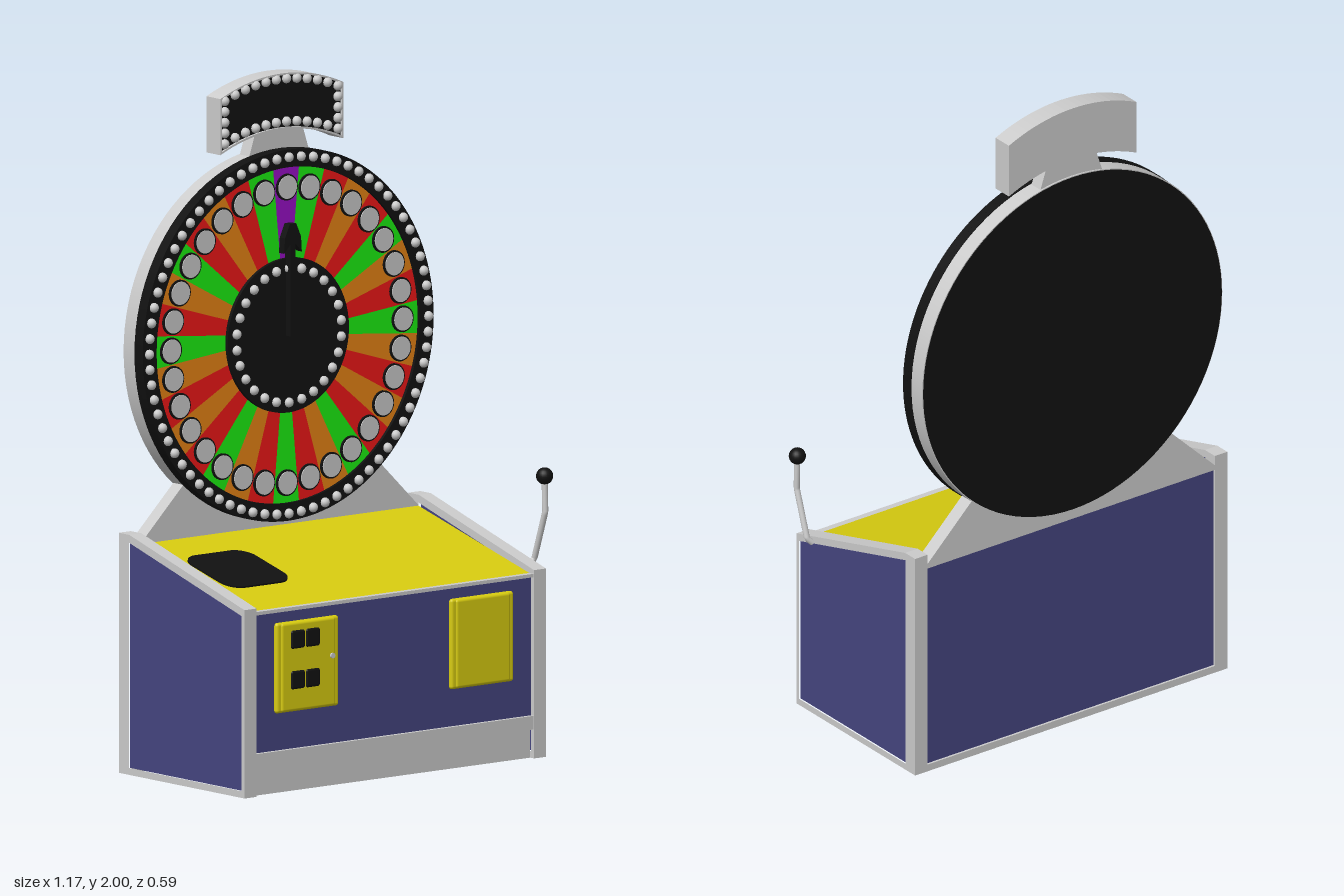
import * as THREE from 'three';
import { RoundedBoxGeometry } from 'three/addons/geometries/RoundedBoxGeometry.js';

const mat = (color) => new THREE.MeshStandardMaterial({ color });
const GREY = mat(0xcccccc), BLUE = mat(0x45457f), YELLOW = mat(0xd8cc10), BLACK = mat(0x111111);
const RED = mat(0xf01818), GREEN = mat(0x1cf012), ORANGE = mat(0xe88414), PURPLE = mat(0x9a10c8);
const CX = -0.02; // centre line of the cabinet and wheel

function add(parent, name, geometry, material, x = 0, y = 0, z = 0) {
  const mesh = new THREE.Mesh(geometry, material);
  mesh.name = name;
  mesh.position.set(x, y, z);
  parent.add(mesh);
  return mesh;
}

const shapeOf = (pts) => new THREE.Shape(pts.map(([x, y]) => new THREE.Vector2(x, y)));

// Box given by its limits
function box(parent, name, material, x0, x1, y0, y1, z0, z1) {
  return add(parent, name, new THREE.BoxGeometry(x1 - x0, y1 - y0, z1 - z0), material,
    (x0 + x1) / 2, (y0 + y1) / 2, (z0 + z1) / 2);
}

// Shape in the xy plane, extruded from z0 to z1
function extrudeZ(shape, z0, z1) {
  return new THREE.ExtrudeGeometry(shape, { depth: z1 - z0, bevelEnabled: false, curveSegments: 64 }).translate(0, 0, z0);
}

// Side profile of [z, y] points, extruded from x0 to x1
function extrudeX(pts, x0, x1, hole) {
  const flip = (list) => list.map(([z, y]) => [-z, y]);
  const shape = shapeOf(flip(pts));
  if (hole) shape.holes.push(shapeOf(flip(hole)));
  return extrudeZ(shape, 0, x1 - x0).rotateY(Math.PI / 2).translate(x0, 0, 0);
}

// Flat ring sector; angles run clockwise from the top
function sector(r0, r1, a0, a1) {
  const shape = new THREE.Shape();
  shape.absarc(0, 0, r1, Math.PI / 2 - a0, Math.PI / 2 - a1, true);
  shape.absarc(0, 0, r0, Math.PI / 2 - a1, Math.PI / 2 - a0, false);
  return shape;
}

function ringShape(r0, r1) {
  const shape = new THREE.Shape().absarc(0, 0, r1, 0, Math.PI * 2);
  shape.holes.push(new THREE.Path().absarc(0, 0, r0, 0, Math.PI * 2, true));
  return shape;
}

const disc = (r, h, seg = 96) => new THREE.CylinderGeometry(r, r, h, seg).rotateX(Math.PI / 2);
const bulbGeometry = new THREE.SphereGeometry(0.0145, 12, 8);

function createCabinet() {
  const g = new THREE.Group();
  g.name = 'cabinet';
  // Side frames with inset panels
  const outer = [[0.29, 0], [0.29, 0.553], [-0.235, 0.705], [-0.283, 0.705], [-0.283, 0]];
  const inner = [[0.276, 0.02], [0.276, 0.534], [-0.237, 0.682], [-0.237, 0.02]];
  for (const [x0, out] of [[-0.585, -1], [0.5, 1]]) {
    add(g, 'sideFrame', extrudeX(outer, x0, x0 + 0.045, inner), GREY);
    const p = x0 + (out < 0 ? 0.005 : 0.01);
    add(g, 'sidePanel', extrudeX(inner, p, p + 0.03), BLUE);
  }
  // Body between the sides
  add(g, 'body', extrudeX([[0.25, 0.02], [0.25, 0.1], [0.276, 0.1], [0.276, 0.532], [-0.237, 0.664],
    [-0.276, 0.664], [-0.276, 0.02]], -0.542, 0.502), BLUE);
  add(g, 'deck', extrudeX([[0.272, 0.53], [0.272, 0.541], [-0.237, 0.673], [-0.237, 0.662]], -0.54, 0.5), YELLOW);
  box(g, 'frontTopTrim', GREY, -0.54, 0.5, 0.532, 0.542, 0.268, 0.288);
  box(g, 'frontRail', GREY, -0.54, 0.5, 0.085, 0.125, 0.25, 0.288);
  box(g, 'kickPlate', GREY, -0.54, 0.5, 0, 0.085, 0.245, 0.272);
  box(g, 'backBottomTrim', GREY, -0.54, 0.5, 0, 0.022, -0.283, -0.262);

  // Front doors
  for (const x of [-0.345, 0.31]) {
    add(g, 'doorFrame', new RoundedBoxGeometry(0.235, 0.265, 0.02, 3, 0.009), YELLOW, x, 0.367, 0.278);
    add(g, 'door', new RoundedBoxGeometry(0.205, 0.262, 0.02, 3, 0.009), YELLOW, x, 0.367, 0.282);
  }
  for (const x of [-0.387, -0.331]) for (const y of [0.447, 0.328]) {
    add(g, 'coinSlot', new RoundedBoxGeometry(0.052, 0.054, 0.016, 3, 0.007), BLACK, x, y, 0.289);
  }
  add(g, 'doorLock', disc(0.008, 0.012, 16), GREY, -0.258, 0.385, 0.291);

  // Rounded pad lying on the sloping deck
  const r = 0.055, w = 0.12;
  const pad = new THREE.Shape();
  [[1, 1], [-1, 1], [-1, -1], [1, -1]].forEach(([sx, sy], i) =>
    pad.absarc(sx * (w - r), sy * (w - r), r, i * Math.PI / 2, (i + 1) * Math.PI / 2));
  add(g, 'deckPad', extrudeZ(pad, -0.005, 0.008), BLACK, -0.375, 0.608, 0.002)
    .rotation.x = -Math.PI / 2 + Math.atan2(0.132, 0.509);

  // Pull lever on the left side
  const rod = new THREE.CurvePath();
  const pts = [[0.545, 0.555, 0.212], [0.56, 0.57, 0.218], [0.56, 0.715, 0.268], [0.56, 0.82, 0.265]]
    .map((p) => new THREE.Vector3(...p));
  for (let i = 0; i < 3; i++) rod.add(new THREE.LineCurve3(pts[i], pts[i + 1]));
  add(g, 'leverRod', new THREE.TubeGeometry(rod, 30, 0.009, 12), GREY);
  add(g, 'leverKnob', new THREE.SphereGeometry(0.025, 20, 14), BLACK, 0.56, 0.82, 0.265);

  // Stand under the wheel
  add(g, 'wheelStand', extrudeZ(shapeOf([[-0.54, 0.66], [0.5, 0.66], [0.5, 0.675], [0.33, 0.84],
    [-0.37, 0.84], [-0.54, 0.675]]), -0.283, -0.237), GREY);
  return g;
}

function bulbRing(parent, count, radius, z) {
  for (let i = 0; i < count; i++) {
    const a = (i / count) * Math.PI * 2;
    add(parent, 'bulb', bulbGeometry, GREY, Math.sin(a) * radius, Math.cos(a) * radius, z);
  }
}

function createWheel() {
  const g = new THREE.Group();
  g.name = 'wheel';
  g.position.set(CX, 1.235, 0);
  add(g, 'wheelDrum', disc(0.543, 0.052), GREY, 0, 0, -0.262);
  add(g, 'wheelBack', disc(0.54, 0.004), BLACK, 0, 0, -0.288);
  add(g, 'wheelBase', disc(0.545, 0.02), BLACK, 0, 0, -0.226);
  add(g, 'outerRing', extrudeZ(ringShape(0.493, 0.545), -0.22, -0.198), BLACK);
  add(g, 'hub', disc(0.227, 0.03, 64), BLACK, 0, 0, -0.212);

  // Coloured segments, clockwise from the top, each with a plain badge
  const order = 'PGROROROGORORGORGROGRORO';
  const full = 'PGRORGORGORORGORG' + 'ROGROROGROGRORG';
  const colours = { P: PURPLE, G: GREEN, R: RED, O: ORANGE };
  const step = (Math.PI * 2) / full.length;
  const wedge = extrudeZ(sector(0.22, 0.495, -step / 2, step / 2), -0.218, -0.208);
  const badge = disc(0.034, 0.012, 24), badgeRim = disc(0.039, 0.009, 24);
  [...full].forEach((c, i) => {
    const a = i * step, x = Math.sin(a) * 0.434, y = Math.cos(a) * 0.434;
    add(g, 'segment', wedge, colours[c]).rotation.z = -a;
    add(g, 'badgeRim', badgeRim, BLACK, x, y, -0.206);
    add(g, 'badge', badge, GREY, x, y, -0.205);
  });

  bulbRing(g, 72, 0.523, -0.195);
  bulbRing(g, 26, 0.197, -0.195);

  // Pointer
  add(g, 'pointer', extrudeZ(shapeOf([[-0.01, 0], [0.01, 0], [0.01, 0.27], [0.033, 0.245], [0.03, 0.29],
    [0.012, 0.33], [-0.012, 0.33], [-0.03, 0.29], [-0.033, 0.245], [-0.01, 0.27]]), -0.2, -0.176), BLACK);
  return g;
}

function createSign() {
  const g = new THREE.Group();
  g.name = 'topSign';
  g.position.x = CX;
  const R = 0.554;
  const arcY = (x, top) => top - R + Math.sqrt(R * R - x * x);
  // Curved panel with straight sides
  const panel = (hw, top, bottom) => {
    const pts = [], n = 20;
    for (let i = 0; i <= n; i++) { const x = hw * (2 * i / n - 1); pts.push([x, arcY(x, bottom)]); }
    for (let i = n; i >= 0; i--) { const x = hw * (2 * i / n - 1); pts.push([x, arcY(x, top)]); }
    return shapeOf(pts);
  };
  add(g, 'signBody', extrudeZ(panel(0.231, 2.0, 1.835), -0.29, -0.236), GREY);
  const rim = panel(0.231, 2.0, 1.835);
  rim.holes.push(panel(0.225, 1.994, 1.841));
  add(g, 'signRim', extrudeZ(rim, -0.238, -0.226), GREY);
  add(g, 'signFace', extrudeZ(panel(0.226, 1.995, 1.84), -0.238, -0.233), BLACK);
  add(g, 'signNeck', extrudeZ(shapeOf([[-0.12, 1.74], [0.12, 1.74], [0.085, 1.845], [-0.085, 1.845]]), -0.283, -0.24), GREY);

  // Bulbs around the edge
  for (let i = 0; i < 12; i++) {
    const x = -0.212 + (0.424 * i) / 11;
    for (const y of [1.983, 1.857]) add(g, 'signBulb', bulbGeometry, GREY, x, arcY(x, y), -0.23);
  }
  for (const x of [-0.212, 0.212]) for (let i = 1; i < 4; i++) {
    add(g, 'signBulb', bulbGeometry, GREY, x, arcY(x, 1.857 + (0.126 * i) / 4), -0.23);
  }
  return g;
}

export function createModel() {
  const model = new THREE.Group();
  model.name = 'prizeWheelMachine';
  model.add(createCabinet(), createWheel(), createSign());
  return model;
}
